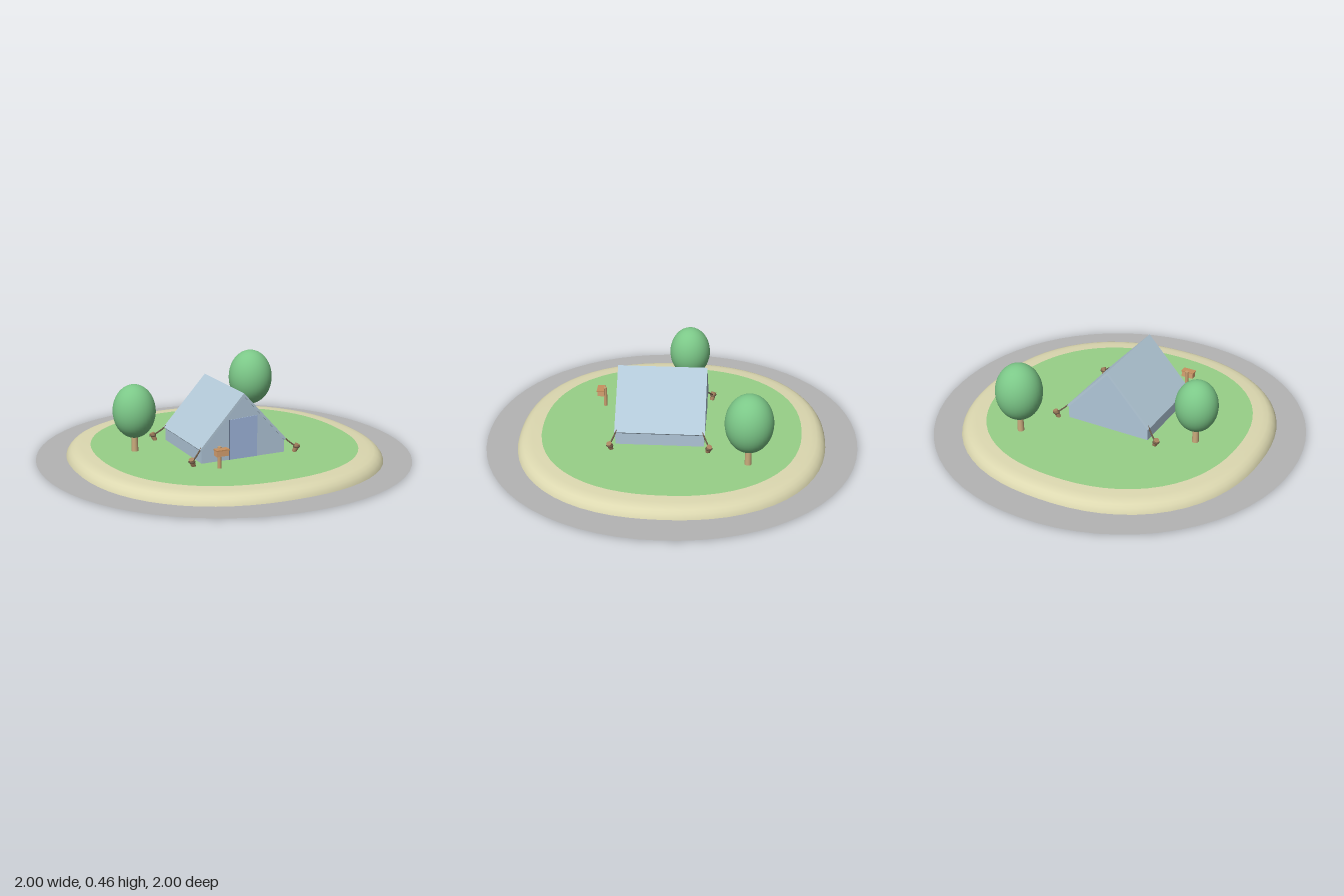
import * as THREE from 'three';

const V = (x, y, z) => new THREE.Vector3(x, y, z);

function add(parent, name, geometry, color, side = THREE.FrontSide) {
  const mesh = new THREE.Mesh(geometry, new THREE.MeshStandardMaterial({ color, side }));
  mesh.name = name;
  parent.add(mesh);
  return mesh;
}

// Lathe whose round plan is pushed outwards on the diagonals (superellipse)
function squircleLathe(points, power) {
  const g = new THREE.LatheGeometry(points.map(p => new THREE.Vector2(...p)), 64);
  const pos = g.attributes.position;
  for (let i = 0; i < pos.count; i++) {
    const x = pos.getX(i), z = pos.getZ(i), r = Math.hypot(x, z);
    if (r < 1e-6) continue;
    const k = (Math.abs(x / r) ** power + Math.abs(z / r) ** power) ** (-1 / power);
    pos.setX(i, x * k);
    pos.setZ(i, z * k);
  }
  return g;
}

// Straight round bar between two points
function bar(a, b, r0, r1, sides = 12) {
  const dir = b.clone().sub(a);
  const g = new THREE.CylinderGeometry(r1, r0, dir.length(), sides);
  g.applyQuaternion(new THREE.Quaternion().setFromUnitVectors(V(0, 1, 0), dir.normalize()));
  const c = a.clone().add(b).multiplyScalar(0.5);
  return g.translate(c.x, c.y, c.z);
}

// Outline in x/y pulled along z from z0 to z1
function prism(outline, z0, z1) {
  const shape = new THREE.Shape(outline.map(p => new THREE.Vector2(...p)));
  return new THREE.ExtrudeGeometry(shape, { depth: z1 - z0, bevelEnabled: false }).translate(0, 0, z0);
}

function makeTree(x, z, radius, bottom, top) {
  const tree = new THREE.Group();
  tree.name = 'tree';
  add(tree, 'trunk', bar(V(x, 0.055, z), V(x, bottom + 0.03, z), 0.018, 0.015, 16), 0xc9ab7c);
  const crown = new THREE.SphereGeometry(1, 32, 24);
  crown.scale(radius, (top - bottom) / 2, radius).translate(x, (top + bottom) / 2, z);
  add(tree, 'crown', crown, 0x7cc888);
  return tree;
}

export function createModel() {
  const model = new THREE.Group();
  model.name = 'campsite';

  // Ground: flat outer sheet, rounded sandy bank and grass top
  add(model, 'groundSheet', squircleLathe([[1, 0.004], [0, 0.004]], 2.06), 0xb4b4b4, THREE.DoubleSide);
  const bank = [[0.83, 0], [0.825, 0.015], [0.815, 0.03], [0.8, 0.044], [0.78, 0.053], [0.75, 0.057], [0.7, 0.06]];
  add(model, 'sandBank', squircleLathe(bank, 2.25), 0xdcd8b0, THREE.DoubleSide);
  add(model, 'grass', squircleLathe([[0.7, 0.06], [0, 0.06]], 2.25), 0x98d088);

  // Tent: five-sided body under a folded roof sheet
  const tent = new THREE.Group();
  tent.name = 'tent';
  tent.position.x = -0.024;
  model.add(tent);
  add(tent, 'tentBody', prism([[-0.238, 0.058], [0.238, 0.058], [0.238, 0.132], [0, 0.392], [-0.238, 0.132]], -0.182, 0.286), 0xb0c6d8);
  add(tent, 'tentRoof', prism([[-0.248, 0.134], [-0.239, 0.125], [0, 0.389], [0.239, 0.125], [0.248, 0.134], [0, 0.405]], -0.186, 0.29), 0xb4cad9);
  add(tent, 'doorFlap', prism([[-0.08, 0.058], [0.078, 0.058], [0.078, 0.28], [-0.08, 0.272]], 0.284, 0.289), 0x9fb6dc);
  add(tent, 'doorSeam', bar(V(-0.08, 0.06, 0.287), V(-0.08, 0.272, 0.287), 0.003, 0.003, 6), 0x66758c);

  // Guy ropes and pegs at the four corners
  for (const sx of [-1, 1]) {
    for (const [zEave, sz, zPeg] of [[0.278, 1, 0.308], [-0.174, -1, -0.21]]) {
      const corner = new THREE.Group();
      corner.name = 'guyLine';
      tent.add(corner);
      const foot = V(sx * 0.29, 0.058, zPeg - sz * 0.006);
      const head = V(sx * 0.306, 0.1, zPeg + sz * 0.003);
      add(corner, 'peg', bar(foot, head, 0.012, 0.015), 0xa88460);
      const collar = new THREE.TorusGeometry(0.015, 0.004, 6, 16).rotateX(Math.PI / 2);
      add(corner, 'ropeLoop', collar.translate(sx * 0.302, 0.086, zPeg), 0x6e5a48);
      const rope = new THREE.QuadraticBezierCurve3(V(sx * 0.236, 0.143, zEave),
        V(sx * 0.264, 0.112, (zEave + zPeg) / 2), V(sx * 0.296, 0.09, zPeg));
      add(corner, 'rope', new THREE.TubeGeometry(rope, 8, 0.004, 6), 0x6e5a48);
    }
  }

  // Trees
  model.add(makeTree(-0.485, -0.07, 0.113, 0.135, 0.42));
  model.add(makeTree(0.372, -0.415, 0.125, 0.14, 0.455));

  // Small post with a wooden box in front of the tent
  const sign = new THREE.Group();
  sign.name = 'signPost';
  sign.position.set(-0.21, 0, 0);
  model.add(sign);
  add(sign, 'post', bar(V(0, 0.055, 0.388), V(0, 0.172, 0.388), 0.01, 0.01), 0xc9a070);
  add(sign, 'signBox', new THREE.BoxGeometry(0.066, 0.03, 0.036).translate(0, 0.147, 0.41), 0xd8a272);
  add(sign, 'signLid', new THREE.BoxGeometry(0.072, 0.006, 0.04).translate(0, 0.164, 0.412), 0xc8905e);

  return model;
}
